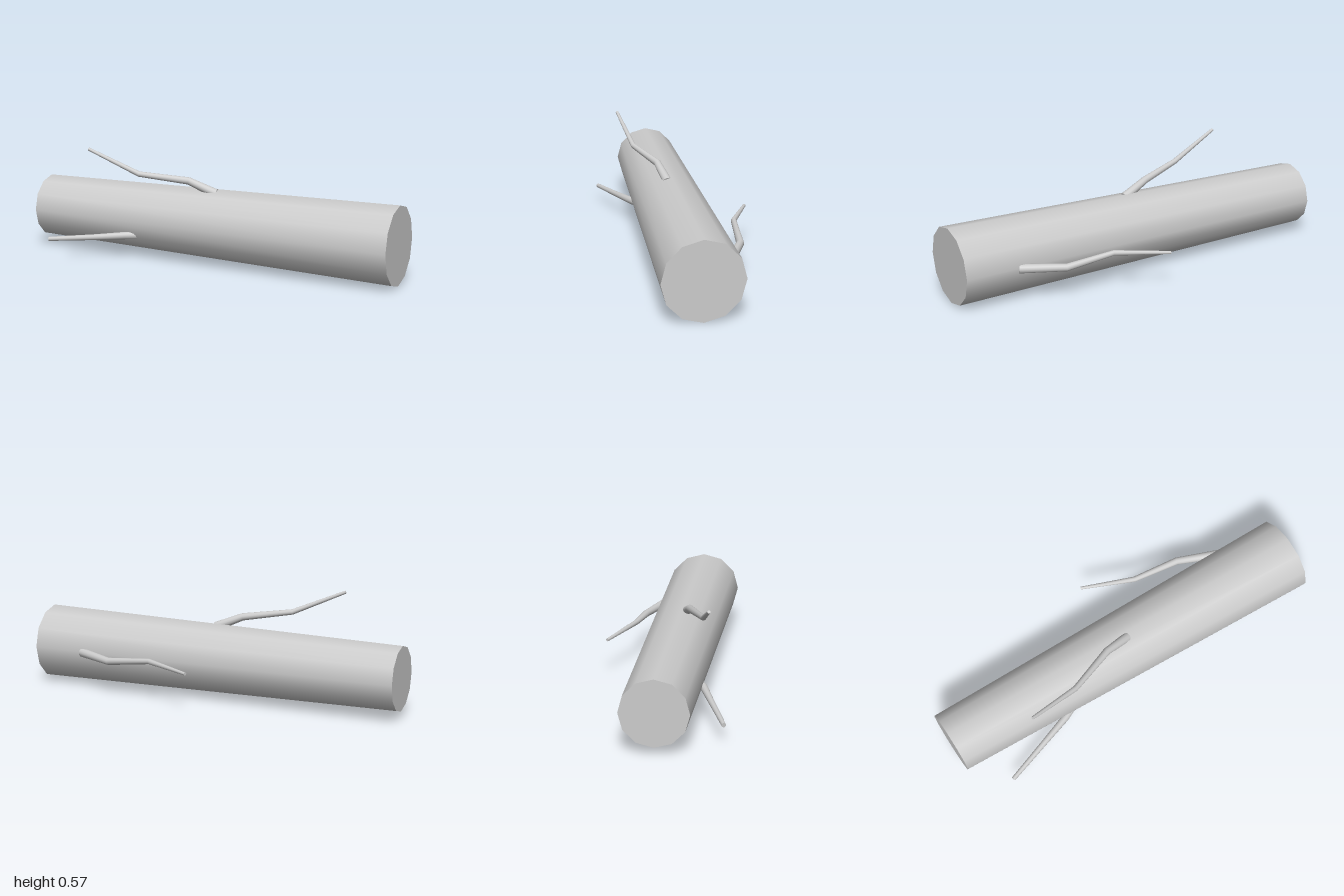
import * as THREE from 'three';

const UP = new THREE.Vector3(0, 1, 0);

// Bends and tapers a capped cylinder along rings of [x, y, z, radius].
// Rings sit square to the path unless a fixed facing direction is given.
function taperedLimb(name, rings, sides, facing) {
  const last = rings.length - 1;
  const points = rings.map(([x, y, z]) => new THREE.Vector3(x, y, z));
  const turns = points.map((p, i) => {
    const before = points[Math.max(i - 1, 0)];
    const after = points[Math.min(i + 1, last)];
    const dir = facing ?? (i === 0 || i === last
      ? after.clone().sub(before).normalize()
      : p.clone().sub(before).normalize().add(after.clone().sub(p).normalize()).normalize());
    return new THREE.Quaternion().setFromUnitVectors(UP, dir);
  });

  const geometry = new THREE.CylinderGeometry(1, 1, 1, sides, last);
  const { position, normal } = geometry.attributes;
  const v = new THREE.Vector3();
  const n = new THREE.Vector3();
  for (let i = 0; i < position.count; i++) {
    v.fromBufferAttribute(position, i);
    const k = Math.round((v.y + 0.5) * last);
    v.setY(0).multiplyScalar(rings[k][3]).applyQuaternion(turns[k]).add(points[k]);
    n.fromBufferAttribute(normal, i).applyQuaternion(turns[k]);
    position.setXYZ(i, v.x, v.y, v.z);
    normal.setXYZ(i, n.x, n.y, n.z);
  }
  const mesh = new THREE.Mesh(geometry, new THREE.MeshStandardMaterial({ color: 0xcccccc }));
  mesh.name = name;
  return mesh;
}

export function createModel() {
  const group = new THREE.Group();
  group.name = 'fallenLog';

  // Twelve-sided trunk, thicker at the +x end, with upright cut faces
  group.add(taperedLimb('trunk', [
    [-1, 0.202, 0.016, 0.163],
    [1, 0.2, 0.105, 0.198],
  ], 12, new THREE.Vector3(1, 0, 0)));

  // Thin crooked branches, each starting just inside the bark
  const branches = {
    topBranch: [
      [0.02, 0.362, 0.082, 0.024],
      [-0.12, 0.42, 0.107, 0.019],
      [-0.36, 0.45, 0.192, 0.014],
      [-0.63, 0.566, 0.235, 0.008],
    ],
    frontBranch: [
      [-0.36, 0.126, 0.165, 0.022],
      [-0.44, 0.123, 0.203, 0.019],
      [-0.6, 0.108, 0.251, 0.015],
      [-0.83, 0.09, 0.32, 0.011],
    ],
    backBranch: [
      [0.72, 0.193, -0.085, 0.024],
      [0.51, 0.185, -0.18, 0.019],
      [0.26, 0.214, -0.207, 0.014],
      [0, 0.2, -0.326, 0.008],
    ],
  };
  for (const [name, rings] of Object.entries(branches)) group.add(taperedLimb(name, rings, 12));

  return group;
}
